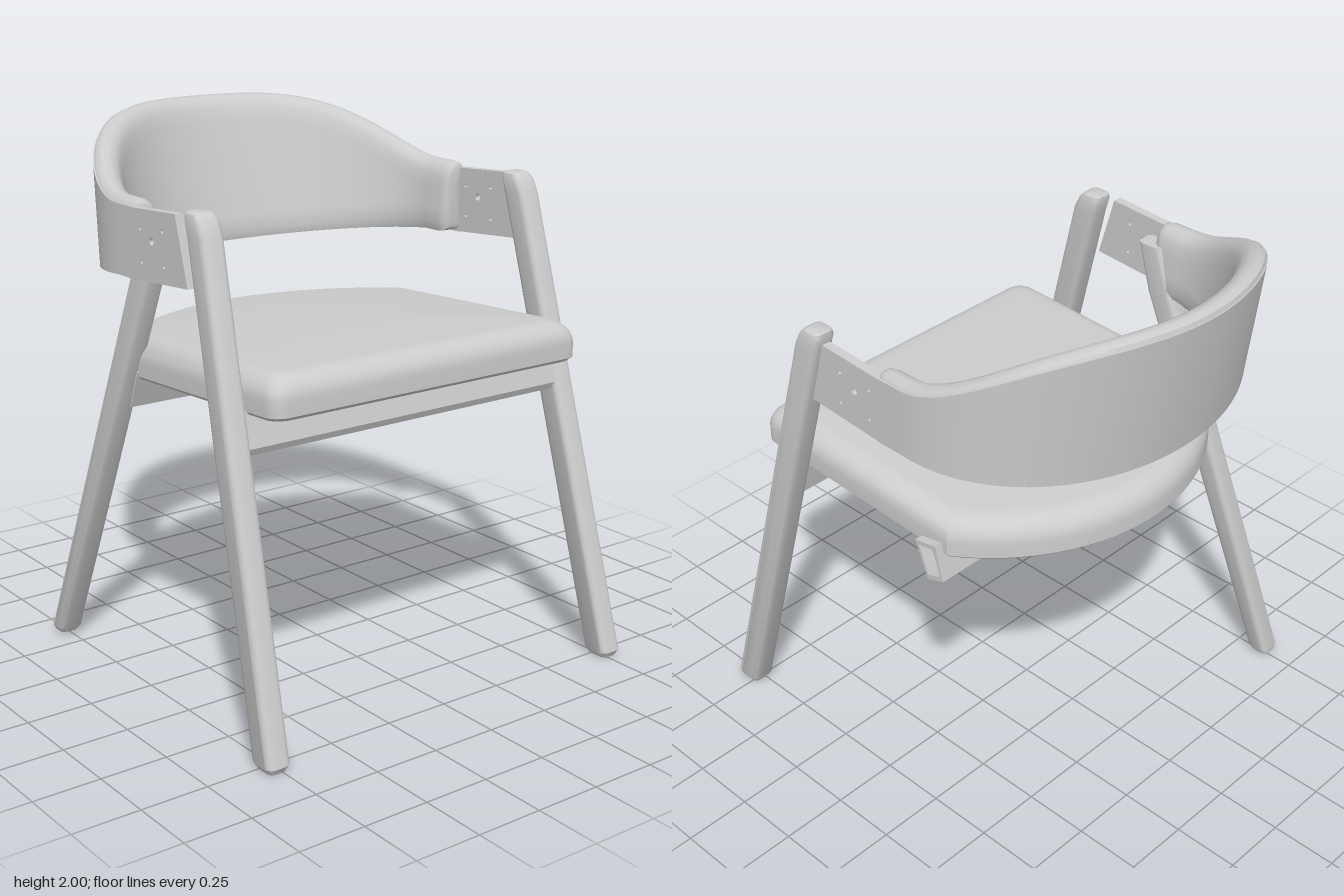
import * as THREE from 'three';
import { toCreasedNormals } from 'three/addons/utils/BufferGeometryUtils.js';

const V = (x, y, z) => new THREE.Vector3(x, y, z);

// Closed solid through rings with equal point counts, capped at both ends
function loft(rings, crease = 0.6) {
  const n = rings[0].length, pos = [], idx = [];
  rings.forEach(r => r.forEach(p => pos.push(p.x, p.y, p.z)));
  for (let i = 0; i < rings.length - 1; i++) {
    for (let j = 0; j < n; j++) {
      const k = (j + 1) % n, a = i * n, b = a + n;
      idx.push(a + j, a + k, b + k, a + j, b + k, b + j);
    }
  }
  [0, rings.length - 1].forEach((ri, end) => {
    const c = V(0, 0, 0);
    rings[ri].forEach(p => c.addScaledVector(p, 1 / n));
    const ci = pos.length / 3;
    pos.push(c.x, c.y, c.z);
    for (let j = 0; j < n; j++) {
      const a = ri * n + j, b = ri * n + (j + 1) % n;
      if (end) idx.push(ci, a, b); else idx.push(ci, b, a);
    }
  });
  // Turn the faces outward if the rings ran the other way
  const at = i => V(pos[i * 3], pos[i * 3 + 1], pos[i * 3 + 2]);
  let vol = 0;
  for (let i = 0; i < idx.length; i += 3) vol += at(idx[i]).dot(at(idx[i + 1]).cross(at(idx[i + 2])));
  if (vol < 0) idx.reverse();
  const g = new THREE.BufferGeometry();
  g.setAttribute('position', new THREE.Float32BufferAttribute(pos, 3));
  g.setIndex(idx);
  return toCreasedNormals(g, crease);
}

// Horizontal rounded rectangle, used as a leg section
function legRing(x, y, z, hx, hz) {
  const r = Math.min(hx, hz) * 0.55, pts = [];
  [[1, 1], [-1, 1], [-1, -1], [1, -1]].forEach(([sx, sz], q) => {
    for (let i = 0; i <= 4; i++) {
      const a = (q + i / 4) * Math.PI / 2;
      pts.push(V(x + sx * (hx - r) + r * Math.cos(a), y, z + sz * (hz - r) + r * Math.sin(a)));
    }
  });
  return pts;
}

// Seat outline inset by d: rounded front corners, straight sides, bowed back
function seatRing(d, h) {
  const w = 0.675 - d, zf = 0.68 - d, R = 0.83 - d, r = 0.06, pts = [];
  const put = (x, z) => pts.push(V(x, 1.11 + 0.046 * z + h, z));
  for (let i = 0; i <= 6; i++) {
    const a = i / 6 * Math.PI / 2;
    put(w - r + r * Math.cos(a), zf - r + r * Math.sin(a));
  }
  for (let i = 0; i <= 6; i++) {
    const a = Math.PI / 2 * (1 + i / 6);
    put(-w + r + r * Math.cos(a), zf - r + r * Math.sin(a));
  }
  const end = Math.asin(w / R);
  for (let i = 0; i <= 32; i++) {
    const a = -end + 2 * end * i / 32;
    put(R * Math.sin(a), 0.21 - R * Math.cos(a));
  }
  return pts;
}

// Backrest bend: angle a runs from the left arm to the right arm
const smooth = s => s * s * (3 - 2 * s);
const topY = a => 1.77 + 0.23 * smooth(Math.max(0, Math.sin(a)));
const bottomY = a => 1.495 - 0.045 * Math.sin(a);
function bend(a, ext, inset, y) {
  const depth = 0.59 + 0.09 * (y - 1.45) / 0.55 - inset;
  return V((0.745 - inset) * Math.cos(a), y, -0.15 + ext - depth * Math.sin(a));
}

export function createModel() {
  const group = new THREE.Group();
  const grey = new THREE.MeshStandardMaterial({ color: 0xcccccc });
  grey.name = 'light grey';
  const add = (name, geo) => {
    const m = new THREE.Mesh(geo, grey);
    m.name = name;
    group.add(m);
    return m;
  };

  // Seat cushion with a soft upper edge
  const seat = [seatRing(0.012, 0), seatRing(0, 0.012), seatRing(0, 0.065)];
  for (let i = 1; i <= 7; i++) {
    const a = i / 7 * Math.PI / 2;
    seat.push(seatRing(0.085 * (1 - Math.cos(a)), 0.065 + 0.085 * Math.sin(a)));
  }
  add('seatCushion', loft(seat));

  // Front legs and the slotted arm plates
  for (const s of [1, -1]) {
    const side = s > 0 ? 'left' : 'right';
    const leg = [
      [0.765, 0, 0.775, 0.034, 0.042], [0.765, 0.022, 0.772, 0.046, 0.056],
      [0.697, 1.7, 0.326, 0.046, 0.054], [0.696, 1.75, 0.306, 0.046, 0.05],
      [0.696, 1.77, 0.298, 0.04, 0.04], [0.696, 1.776, 0.294, 0.03, 0.03],
    ];
    add(side + 'FrontLeg', loft(leg.map(([x, y, z, hx, hz]) => legRing(s * x, y, z, hx, hz))));

    const plate = new THREE.Shape([[0.29, 1.52], [0.22, 1.76], [-0.035, 1.745], [-0.035, 1.497]]
      .map(p => new THREE.Vector2(...p)));
    [[0.14, 1.69, 0.007], [0.145, 1.57, 0.007], [0.072, 1.645, 0.013], [0, 1.68, 0.007], [0.005, 1.565, 0.007]]
      .forEach(([z, y, r]) => plate.holes.push(new THREE.Path().absarc(z, y, r, 0, Math.PI * 2)));
    const g = new THREE.ExtrudeGeometry(plate, { depth: 0.034, bevelEnabled: false, curveSegments: 8 });
    g.rotateY(-Math.PI / 2).translate(s > 0 ? 0.745 : -0.711, 0, 0);
    add(side + 'ArmPlate', g);
  }

  // Single back leg on the right side
  add('rightBackLeg', loft([
    [-0.757, 0.012, -0.615, 0.034, 0.034], [-0.757, 0.032, -0.608, 0.045, 0.044],
    [-0.668, 1.5, -0.082, 0.041, 0.058], [-0.667, 1.69, -0.022, 0.038, 0.052],
  ].map(p => legRing(...p))));

  // Rails between the legs, leaning with them
  const rail = (section, x0, x1) => loft([x0, x1].map(x => section.map(([z, y]) => V(x, y, z))), 0.3);
  add('frontRail', rail([[0.538, 1], [0.55, 1.025], [0.515, 1.15], [0.445, 1.15], [0.48, 1]], -0.685, 0.685));
  const backSection = [[-0.15, 1.13], [-0.247, 1.15], [-0.28, 1.015], [-0.205, 0.99]];
  add('backRail', rail(backSection, -0.68, 0.66));

  // Hollow socket at the free end of the back rail
  const socket = new THREE.Shape(backSection.map(p => new THREE.Vector2(...p)));
  socket.holes.push(new THREE.Path(backSection
    .map(([z, y]) => new THREE.Vector2(-0.22 + (z + 0.22) * 0.75, 1.072 + (y - 1.072) * 0.75))));
  add('railSocket', new THREE.ExtrudeGeometry(socket, { depth: 0.05, bevelEnabled: false })
    .rotateY(-Math.PI / 2).translate(0.705, 0, 0));

  // Stations along the backrest; ext lengthens the straight arms forward
  const arc = [];
  for (let i = 0; i <= 56; i++) arc.push({ a: Math.PI * i / 56, ext: 0, k: 1 });
  const wrap = ends => [
    ...ends.map(([ext, k]) => ({ a: 0, ext, k })), ...arc,
    ...ends.slice().reverse().map(([ext, k]) => ({ a: Math.PI, ext, k })),
  ];

  // Bent outer shell
  add('backrestShell', loft(wrap([[0.116, 1]]).map(({ a, ext }) => {
    const t = topY(a) - 0.025, b = bottomY(a);
    return [[0, b], [0, t], [0.034, t], [0.034, b]].map(([i, y]) => bend(a, ext, i, y));
  })));

  // Padded lining with a rolled top, thicker towards the back and bottom
  add('backrestPad', loft(wrap([[0.115, 0.45], [0.112, 0.75], [0.1, 0.93], [0.08, 1]]).map(({ a, ext, k }) => {
    const t = topY(a), b = bottomY(a) + 0.006, s = Math.sin(a), th = 0.115 + 0.045 * s;
    const section = [
      [0.02, b], [0.02, t - 0.06], [0.004, t - 0.027], [0.012, t - 0.01], [0.035, t], [0.06, t - 0.004],
      [0.082, t - 0.02], [0.097, t - 0.05], [0.102, t - 0.1], [th - 0.005, b + 0.09], [th, b + 0.03], [th - 0.012, b],
    ];
    const cy = (t + b) / 2;
    return section.map(([i, y]) => bend(a, ext, 0.055 + (i - 0.055) * k, cy + (y - cy) * (0.6 + 0.4 * k)));
  }), 0.8));

  return group;
}
